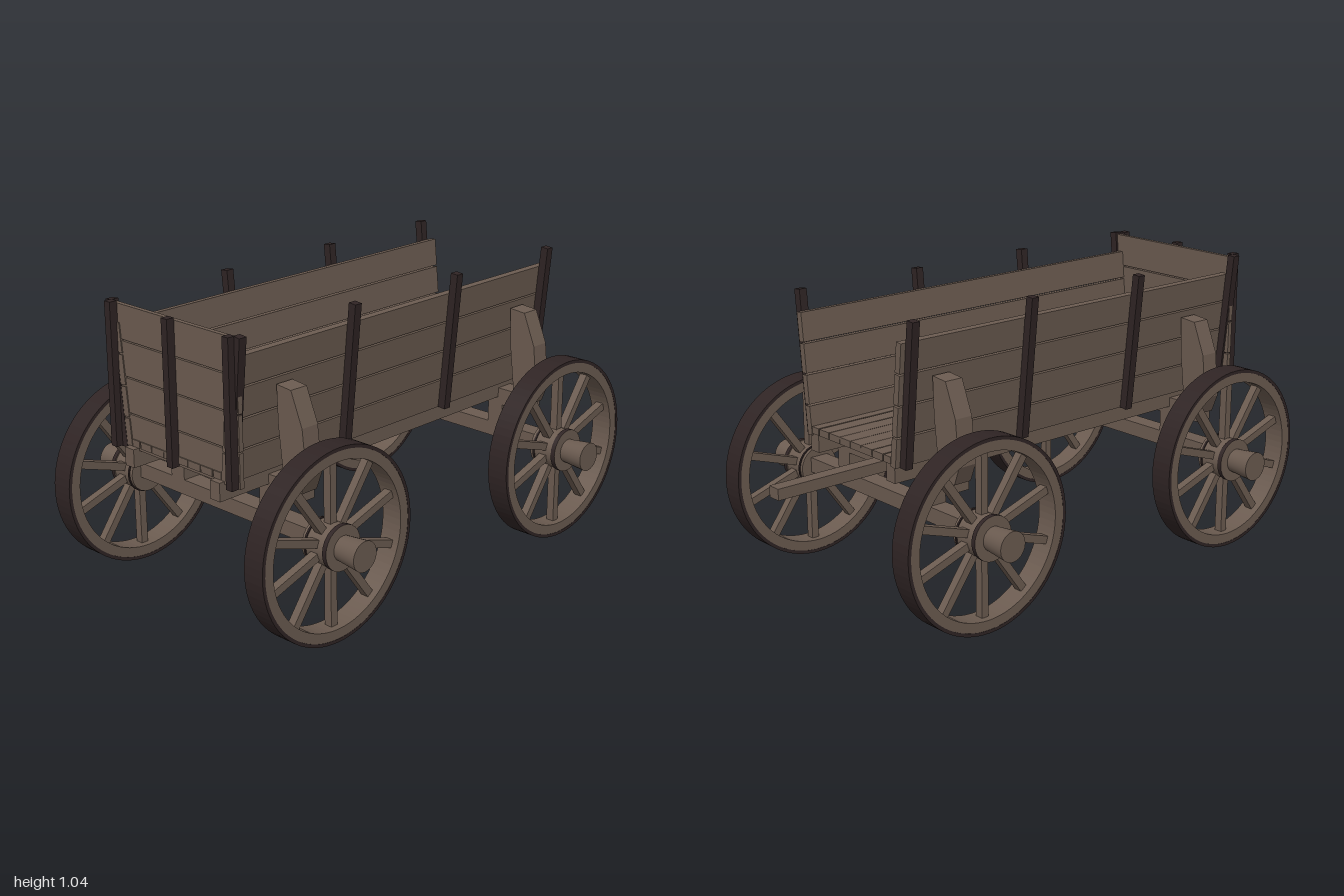
import * as THREE from 'three';

const wood = new THREE.MeshStandardMaterial({ color: 0x6b5b50 });
wood.name = 'weatheredWood';
const iron = new THREE.MeshStandardMaterial({ color: 0x2f2424 });
iron.name = 'darkIron';

export function createModel() {
  const model = new THREE.Group();
  model.name = 'woodenWagon';

  const add = (parent, name, geometry, material, x = 0, y = 0, z = 0) => {
    const mesh = new THREE.Mesh(geometry, material);
    mesh.name = name;
    mesh.position.set(x, y, z);
    parent.add(mesh);
    return mesh;
  };
  // Box given by its limits on each axis
  const box = (parent, name, material, x0, x1, y0, y1, z0, z1) =>
    add(parent, name, new THREE.BoxGeometry(x1 - x0, y1 - y0, z1 - z0), material,
      (x0 + x1) / 2, (y0 + y1) / 2, (z0 + z1) / 2);

  // Floor planks, laid lengthwise
  const seams = [-0.222, -0.18, -0.12, -0.06, 0, 0.06, 0.12, 0.18, 0.222];
  for (let i = 0; i < seams.length - 1; i++) {
    const gap = Math.abs(i - 3.5) > 2 ? 0.003 : 0.001;
    box(model, 'floorPlank', wood, seams[i] + gap, seams[i + 1] - gap, 0.55, 0.575, -0.69, 0.884);
  }

  // Leaning side walls with iron stakes, and the long beams under the floor
  for (const s of [-1, 1]) {
    const wall = new THREE.Group();
    wall.name = s > 0 ? 'leftWall' : 'rightWall';
    wall.position.set(s * 0.245, 0.54, 0);
    wall.rotation.z = -s * 0.097;
    model.add(wall);
    for (let i = 0; i < 4; i++) {
      add(wall, 'wallPlank', new THREE.BoxGeometry(0.025, 0.103, 1.574), wood,
        -s * 0.0125, 0.0515 + i * 0.109, 0.097);
    }
    for (const z of [0.87, 0.362, -0.147, -0.656]) {
      add(wall, 'wallStake', new THREE.BoxGeometry(0.03, 0.505, 0.03), iron, s * 0.015, 0.2525, z);
    }
    box(model, 'floorBeam', wood, s * 0.2125 - 0.0225, s * 0.2125 + 0.0225, 0.485, 0.55, -0.685, 0.905);
  }

  // Upright front board with three iron posts
  for (let i = 0; i < 4; i++) {
    const y = 0.54 + i * 0.125;
    box(model, 'frontPlank', wood, -0.305, 0.305, y, y + 0.12, 0.863, 0.88);
  }
  for (const x of [-0.285, 0, 0.285]) {
    box(model, 'frontPost', iron, x - 0.014, x + 0.014, 0.54, 1.043, 0.88, 0.91);
  }

  // Drawbar at the rear
  box(model, 'drawbar', wood, -0.025, 0.025, 0.445, 0.485, -1, -0.5);

  // Axles, bolsters, curved-out side brackets and wheels
  for (const z of [0.658, -0.523]) {
    const truck = new THREE.Group();
    truck.name = z > 0 ? 'frontAxleSet' : 'rearAxleSet';
    truck.position.z = z;
    model.add(truck);
    box(truck, 'axle', wood, -0.44, 0.44, 0.325, 0.38, -0.035, 0.035);
    box(truck, 'bolster', wood, -0.375, 0.375, 0.457, 0.52, -0.035, 0.035);
    for (const s of [-1, 1]) {
      box(truck, 'axleBlock', wood, s * 0.222 - 0.033, s * 0.222 + 0.033, 0.38, 0.457, -0.035, 0.035);

      const outline = [[0.31, 0.49], [0.385, 0.49], [0.41, 0.555], [0.393, 0.715],
        [0.345, 0.832], [0.28, 0.838], [0.285, 0.7]];
      const shape = new THREE.Shape(outline.map(([x, y]) => new THREE.Vector2(s * x, y)));
      const bracket = new THREE.ExtrudeGeometry(shape, { depth: 0.07, bevelEnabled: false });
      add(truck, 'sideBracket', bracket, wood, 0, 0, -0.035);

      const wheel = makeWheel(add);
      wheel.position.set(s * 0.48, 0.34, 0);
      wheel.rotation.y = s > 0 ? 0 : Math.PI;
      truck.add(wheel);
    }
  }
  return model;
}

// Wheel turning about x, outer side towards +x
function makeWheel(add) {
  const wheel = new THREE.Group();
  wheel.name = 'wheel';

  // Ring with a rectangular section, axis on x
  const ring = (inner, outer, halfWidth) => {
    const shape = new THREE.Shape().absarc(0, 0, outer, 0, Math.PI * 2);
    shape.holes.push(new THREE.Path().absarc(0, 0, inner, 0, Math.PI * 2, true));
    return new THREE.ExtrudeGeometry(shape, { depth: halfWidth * 2, bevelEnabled: false, curveSegments: 40 })
      .translate(0, 0, -halfWidth).rotateY(Math.PI / 2);
  };
  add(wheel, 'tyre', ring(0.325, 0.337, 0.041), iron);
  add(wheel, 'rim', ring(0.29, 0.325, 0.04), wood);

  // Ten spokes
  for (let i = 0; i < 10; i++) {
    const spoke = new THREE.BoxGeometry(0.03, 0.25, 0.028).translate(0, 0.175, 0);
    add(wheel, 'spoke', spoke, wood).rotation.x = (i * Math.PI) / 5;
  }

  // Hub barrel, iron band and flared cap
  const drum = (name, rOut, rIn, x0, x1, material) =>
    add(wheel, name, new THREE.CylinderGeometry(rOut, rIn, x1 - x0, 24).rotateZ(-Math.PI / 2),
      material, (x0 + x1) / 2);
  drum('hub', 0.075, 0.075, -0.055, 0.04, wood);
  drum('hubBand', 0.079, 0.079, 0.04, 0.057, [iron, wood, wood]);
  drum('innerHubBand', 0.079, 0.079, -0.043, -0.036, iron);
  drum('hubCap', 0.053, 0.043, 0.057, 0.152, wood);
  return wheel;
}
